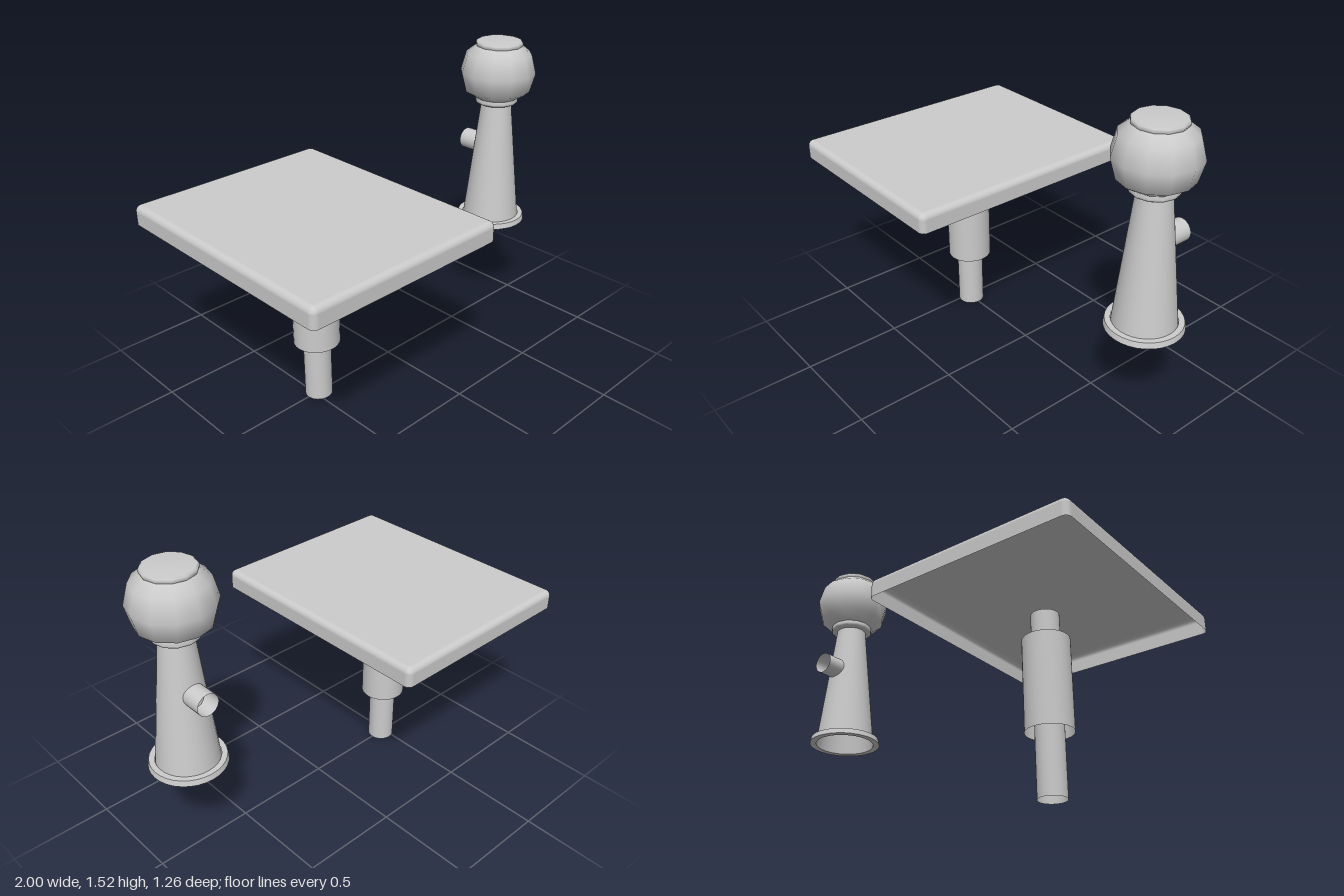
import * as THREE from 'three';

const material = new THREE.MeshStandardMaterial({ color: 0xcccccc, side: THREE.DoubleSide });

function addPart(parent, name, geometry, x, y, z) {
  const mesh = new THREE.Mesh(geometry, material);
  mesh.name = name;
  mesh.position.set(x, y, z);
  parent.add(mesh);
  return mesh;
}

// Open tube standing between two heights
function tube(radiusTop, radiusBottom, height) {
  return new THREE.CylinderGeometry(radiusTop, radiusBottom, height, 32, 1, true);
}

function lathe(points, segments) {
  return new THREE.LatheGeometry(points.map(([r, y]) => new THREE.Vector2(r, y)), segments);
}

// Hollow slab, open below, with rounded corners and a rounded upper edge
function slabShell(width, height, depth, radius) {
  const steps = 6, positions = [], normals = [], index = [];
  const hx = width / 2 - radius, hz = depth / 2 - radius;
  const count = 4 * (steps + 1);
  for (let row = -1; row <= steps; row++) {
    const rise = (Math.max(row, 0) / steps) * Math.PI / 2;
    const c = Math.cos(rise), s = Math.sin(rise);
    const y = row < 0 ? 0 : height - radius + radius * s;
    for (let corner = 0; corner < 4; corner++) {
      const sx = corner === 0 || corner === 3 ? 1 : -1, sz = corner < 2 ? 1 : -1;
      for (let i = 0; i <= steps; i++) {
        const a = (corner + i / steps) * Math.PI / 2;
        const nx = c * Math.cos(a), nz = c * Math.sin(a);
        positions.push(sx * hx + radius * nx, y, sz * hz + radius * nz);
        normals.push(nx, s, nz);
      }
    }
  }
  const rows = steps + 2;
  for (let row = 0; row < rows - 1; row++) {
    for (let i = 0; i < count; i++) {
      const a = row * count + i, b = row * count + (i + 1) % count;
      index.push(a, a + count, b, b, a + count, b + count);
    }
  }
  // Flat top
  const centre = rows * count, last = centre - count;
  positions.push(0, height, 0);
  normals.push(0, 1, 0);
  for (let i = 0; i < count; i++) index.push(last + i, centre, last + (i + 1) % count);
  const geometry = new THREE.BufferGeometry();
  geometry.setAttribute('position', new THREE.Float32BufferAttribute(positions, 3));
  geometry.setAttribute('normal', new THREE.Float32BufferAttribute(normals, 3));
  geometry.setIndex(index);
  return geometry;
}

export function createModel() {
  const model = new THREE.Group();
  model.name = 'tableAndPost';

  // Table: hollow top on a two-stage pedestal
  const table = new THREE.Group();
  table.name = 'table';
  table.position.x = -0.476;
  model.add(table);
  addPart(table, 'tableTop', slabShell(1.048, 0.095, 1.26, 0.03), 0, 0.88, 0);
  addPart(table, 'pedestalPole', tube(0.067, 0.067, 0.88), 0, 0.44, 0);
  addPart(table, 'pedestalSleeve', tube(0.112, 0.112, 0.45), 0, 0.527, 0);

  // Post: tapered body, base flange, faceted ball head and rear spout
  const post = new THREE.Group();
  post.name = 'post';
  post.position.set(0.802, 0, -0.008);
  model.add(post);
  addPart(post, 'taperedBody', tube(0.078, 0.151, 0.66), 0, 0.86, 0);

  const flange = [[0.15, 0.53], [0.183, 0.53], [0.177, 0.558], [0.15, 0.558]];
  for (let i = 0; i < flange.length - 1; i++) {
    addPart(post, 'baseFlange', lathe([flange[i], flange[i + 1]], 32), 0, 0, 0);
  }

  // Ball rows are 30 degrees apart, with 12 sides around
  const ball = [];
  for (let i = -2; i <= 2; i++) {
    const a = i * Math.PI / 6;
    ball.push([0.195 * Math.cos(a), 1.355 + 0.195 * Math.sin(a)]);
  }
  ball[0] = [0.108, 1.22];
  ball[4] = [0.117, 1.493];
  addPart(post, 'ballHead', lathe(ball, 12), 0, 0, 0);
  addPart(post, 'headCap', lathe([[0.117, 1.49], [0.122, 1.5], [0.12, 1.51], [0.112, 1.517], [0, 1.52]], 12), 0, 0, 0);
  addPart(post, 'neckCollar', lathe([[0, 1.19], [0.1, 1.19], [0.108, 1.195], [0.112, 1.205], [0.108, 1.222]], 12), 0, 0, 0);

  const spout = addPart(post, 'rearSpout', tube(0.054, 0.054, 0.11), 0, 0.94, -0.138);
  spout.rotation.x = Math.PI / 2;

  return model;
}
